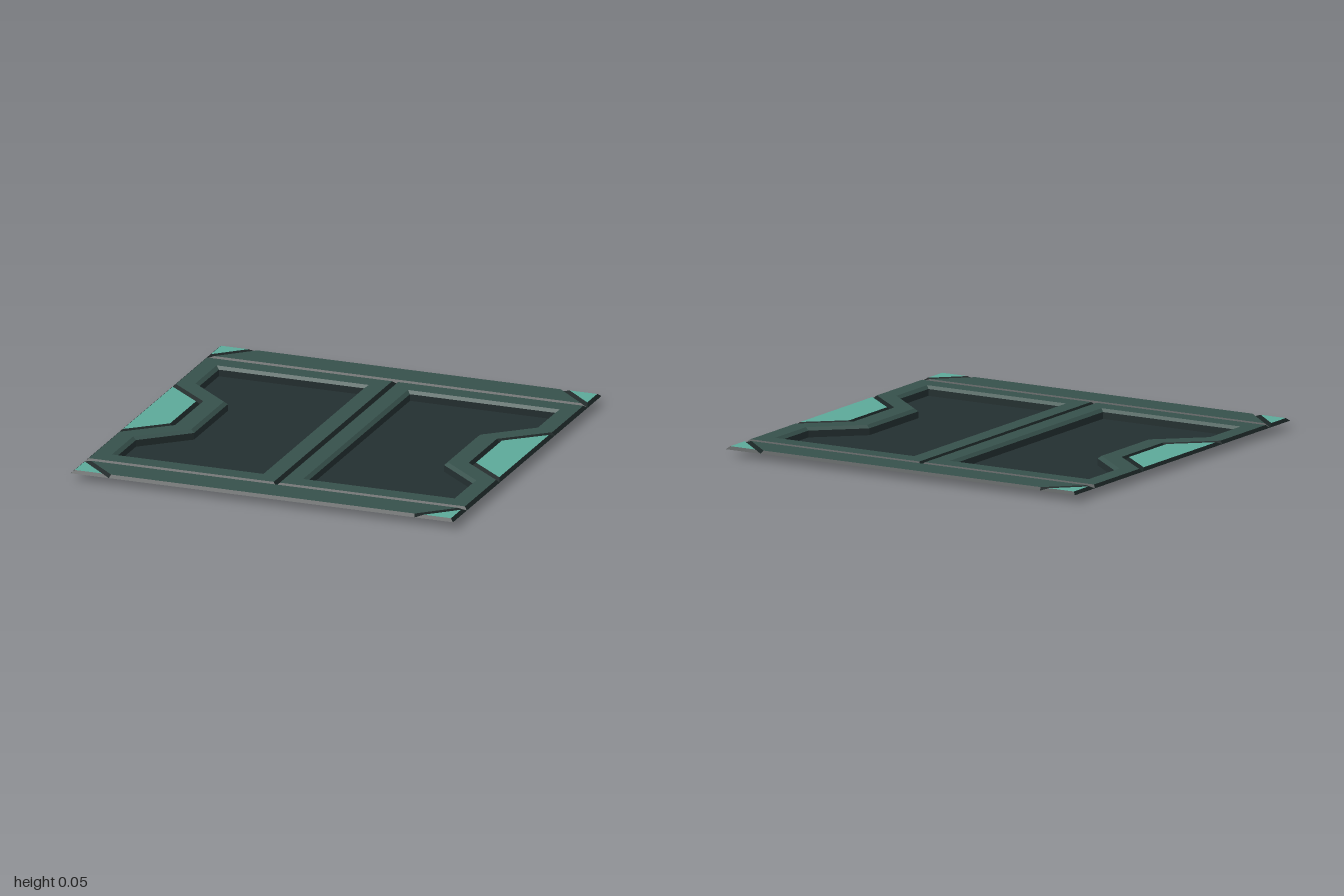
import * as THREE from 'three';

const TOP = 0.048, LOW = 0.034, BEVEL = 0.016;

const mat = (name, color) => {
  const m = new THREE.MeshStandardMaterial({ color, side: THREE.DoubleSide });
  m.name = name;
  return m;
};

// Plan outlines are [x, p] counter-clockwise seen from above, with z = -p.
const mirrorX = (pts) => pts.map(([x, p]) => [-x, p]).reverse();
const mirrorZ = (pts) => pts.map(([x, p]) => [x, -p]).reverse();

// Moves every edge of an outline inwards by d
function inset(pts, d) {
  const n = pts.length;
  const normal = (a, b) => {
    const dx = b[0] - a[0], dy = b[1] - a[1], l = Math.hypot(dx, dy);
    return [-dy / l, dx / l];
  };
  return pts.map((c, i) => {
    const a = normal(pts[(i + n - 1) % n], c);
    const b = normal(c, pts[(i + 1) % n]);
    const k = d / (1 + a[0] * b[0] + a[1] * b[1]);
    return [c[0] + (a[0] + b[0]) * k, c[1] + (a[1] + b[1]) * k];
  });
}

// Flat face at height y, with an optional hole
function face(pts, y, hole) {
  const vec = (list) => list.map(([x, p]) => new THREE.Vector2(x, p));
  const shape = new THREE.Shape(vec(pts));
  if (hole) shape.holes.push(new THREE.Path(vec(hole)));
  return new THREE.ShapeGeometry(shape).rotateX(-Math.PI / 2).translate(0, y, 0);
}

// Ring of flat quads joining two matching outlines
function band(outer, yo, inner, yi) {
  const pos = [];
  outer.forEach((o, i) => {
    const j = (i + 1) % outer.length;
    const a = [o[0], yo, -o[1]], b = [outer[j][0], yo, -outer[j][1]];
    const c = [inner[j][0], yi, -inner[j][1]], d = [inner[i][0], yi, -inner[i][1]];
    pos.push(...a, ...b, ...c, ...a, ...c, ...d);
  });
  const g = new THREE.BufferGeometry();
  g.setAttribute('position', new THREE.Float32BufferAttribute(pos, 3));
  g.computeVertexNormals();
  return g;
}

export function createModel() {
  const frame = mat('frame green', 0x36504b);
  const dark = mat('recess dark', 0x232f30);
  const groove = mat('groove black', 0x192323);
  const teal = mat('accent teal', 0x5ca899);
  const model = new THREE.Group();
  model.name = 'floorTile';

  const add = (parent, name, geometry, material) => {
    const mesh = new THREE.Mesh(geometry, material);
    mesh.name = name;
    parent.add(mesh);
  };

  // Plate with bevelled edges; an opening gives it a sunken tray
  function plate(name, outline, material, opening) {
    const group = new THREE.Group();
    group.name = name;
    const top = inset(outline, BEVEL);
    add(group, 'plateTop', face(top, TOP, opening), material);
    add(group, 'plateBevel', band(outline, LOW, top, TOP), groove);
    if (opening) {
      const rim = inset(opening, 0.018);
      add(group, 'trayLip', band(opening, TOP, rim, LOW), frame);
      add(group, 'trayWalls', band(rim, LOW, rim, 0), dark);
      add(group, 'trayFloor', face(rim, 0), dark);
    }
    model.add(group);
  }

  const panel = [[0, -0.813], [1, -0.813], [1, -0.37], [0.784, -0.182],
    [0.784, 0.182], [1, 0.37], [1, 0.813], [0, 0.813]];
  const opening = [[0.102, -0.705], [0.898, -0.705], [0.898, -0.42], [0.672, -0.22],
    [0.672, 0.22], [0.898, 0.42], [0.898, 0.705], [0.102, 0.705]];
  const sideInsert = [[1, -0.37], [1, 0.37], [0.784, 0.182], [0.784, -0.182]];
  const corner = [[1, 0.813], [1, 1], [0.8, 1]];
  const endStrip = [[-1, 0.813], [1, 0.813], [0.8, 1], [-0.8, 1]];

  // Two recessed panels with an accent in each side notch
  plate('leftPanel', panel, frame, opening);
  plate('rightPanel', mirrorX(panel), frame, mirrorX(opening));
  plate('leftInsert', sideInsert, teal);
  plate('rightInsert', mirrorX(sideInsert), teal);

  // End strips and corner accents
  plate('backStrip', endStrip, frame);
  plate('frontStrip', mirrorZ(endStrip), frame);
  plate('backLeftCorner', corner, teal);
  plate('backRightCorner', mirrorX(corner), teal);
  plate('frontLeftCorner', mirrorZ(corner), teal);
  plate('frontRightCorner', mirrorX(mirrorZ(corner)), teal);

  return model;
}
